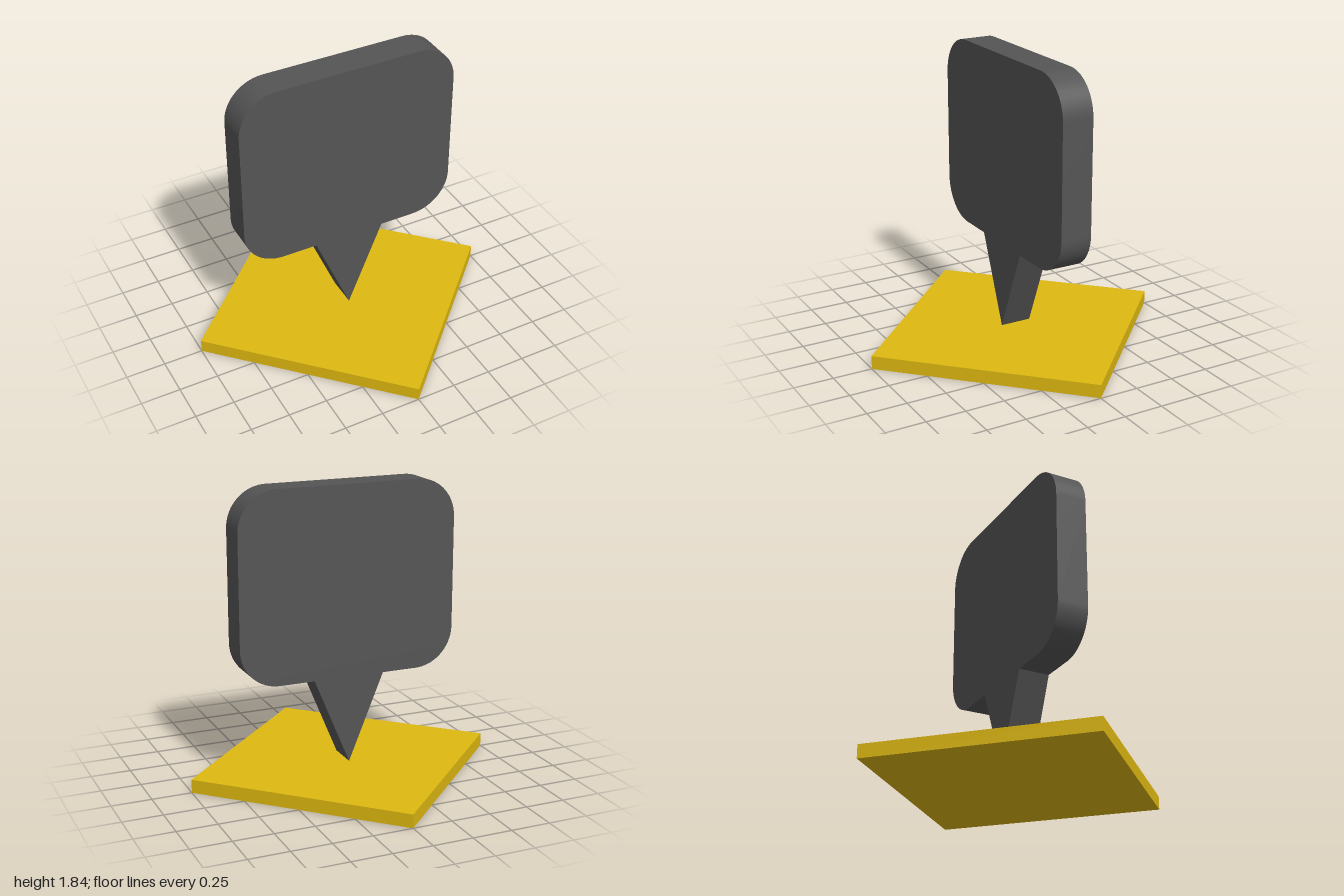
import * as THREE from 'three';
import { toCreasedNormals } from 'three/addons/utils/BufferGeometryUtils.js';

const BASE_HEIGHT = 0.085;
const THICKNESS = 0.2;

// Rounded sign outline with a pointed tail reaching down to the base
function signOutline() {
  const w = 0.707, bottom = 0.64, top = 1.84, r = 0.25, tail = 0.23;
  const s = new THREE.Shape();
  s.moveTo(0, BASE_HEIGHT);
  s.lineTo(tail, bottom);
  s.lineTo(w - r, bottom);
  s.absarc(w - r, bottom + r, r, -Math.PI / 2, 0, false);
  s.absarc(w - r, top - r, r, 0, Math.PI / 2, false);
  s.absarc(-w + r, top - r, r, Math.PI / 2, Math.PI, false);
  s.absarc(-w + r, bottom + r, r, Math.PI, Math.PI * 1.5, false);
  s.lineTo(-tail, bottom);
  s.closePath();
  return s;
}

export function createModel() {
  const gold = new THREE.MeshStandardMaterial({ name: 'gold', color: 0xdeb810 });
  const charcoal = new THREE.MeshStandardMaterial({ name: 'charcoal', color: 0x555555 });
  const model = new THREE.Group();
  model.name = 'speechBubbleMarker';

  // Square base plate turned so its corners lie on the axes
  const base = new THREE.Mesh(new THREE.BoxGeometry(Math.SQRT2, BASE_HEIGHT, Math.SQRT2), gold);
  base.name = 'base';
  base.position.y = BASE_HEIGHT / 2;
  base.rotation.y = Math.PI / 4;
  model.add(base);

  // Upright bubble panel with smooth corners and sharp rims
  const panel = new THREE.ExtrudeGeometry(signOutline(), {
    depth: THICKNESS, bevelEnabled: false, curveSegments: 16,
  });
  panel.translate(0, 0, -THICKNESS / 2);
  const bubble = new THREE.Mesh(toCreasedNormals(panel, 0.4), charcoal);
  bubble.name = 'bubble';
  model.add(bubble);

  return model;
}
